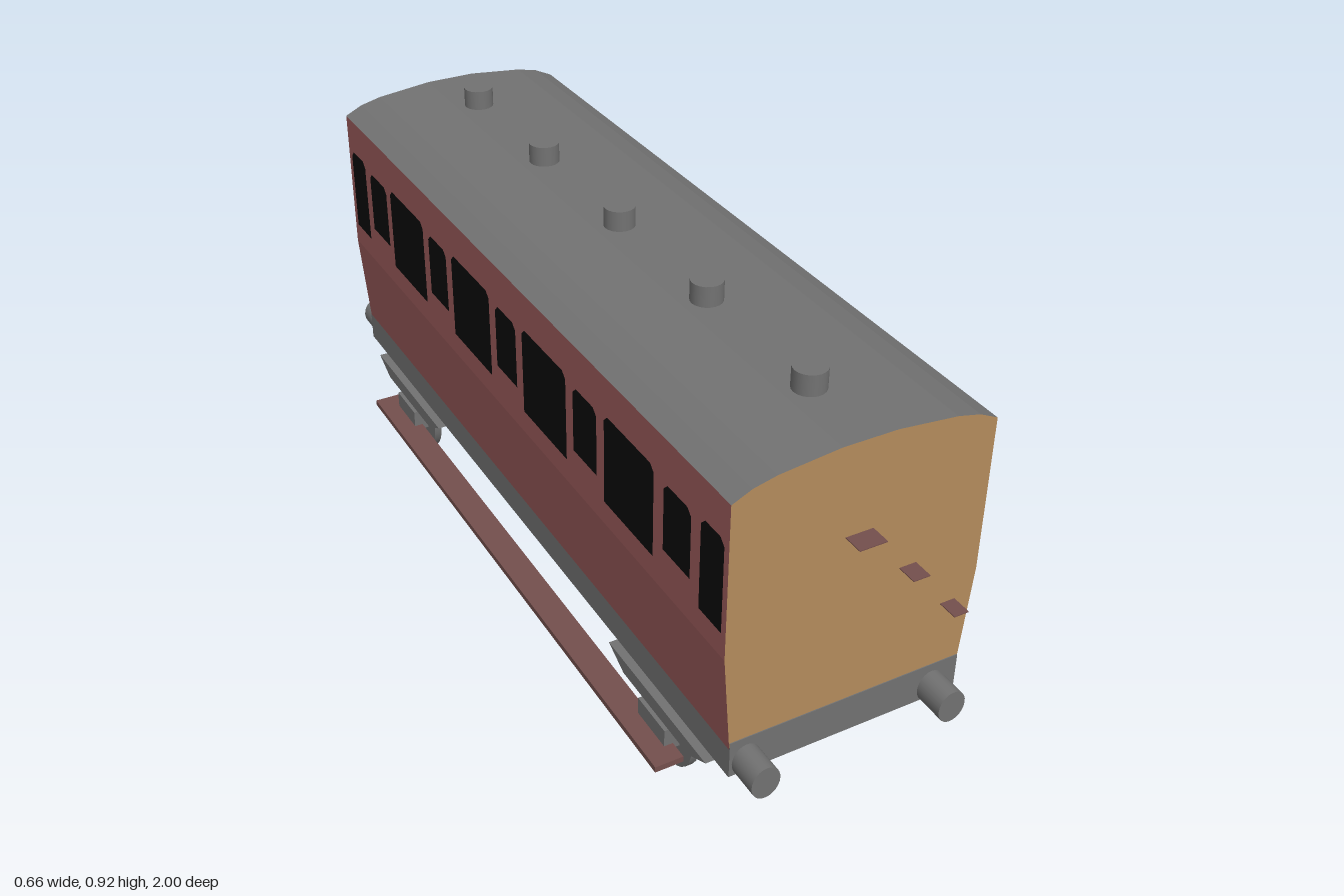
import * as THREE from 'three';

const mat = (name, color, extra = {}) => {
  const m = new THREE.MeshStandardMaterial({ color, ...extra });
  m.name = name;
  return m;
};

export function createModel() {
  const group = new THREE.Group();
  group.name = 'railwayCarriage';
  const brown = mat('brownPaint', 0xb48c5c);
  const red = mat('redPaint', 0x9a5a5a);
  const grey = mat('greyMetal', 0x727272);
  const black = mat('blackGlass', 0x0b0b0b);
  const maroon = mat('stepWood', 0x744f4d);
  const L = 0.927; // half length of the body

  const add = (name, geo, material, x = 0, y = 0, z = 0) => {
    const m = new THREE.Mesh(geo, material);
    m.name = name;
    m.position.set(x, y, z);
    group.add(m);
    return m;
  };
  const box = (name, material, x0, x1, y0, y1, z0, z1) =>
    add(name, new THREE.BoxGeometry(x1 - x0, y1 - y0, z1 - z0), material,
      (x0 + x1) / 2, (y0 + y1) / 2, (z0 + z1) / 2);

  // Flat panels swept along z; points run anticlockwise seen from the front
  const sweep = (name, pts, material) => {
    const v = [];
    for (let i = 0; i < pts.length - 1; i++) {
      const [ax, ay] = pts[i], [bx, by] = pts[i + 1];
      v.push(ax, ay, L, ax, ay, -L, bx, by, -L, ax, ay, L, bx, by, -L, bx, by, L);
    }
    const g = new THREE.BufferGeometry();
    g.setAttribute('position', new THREE.Float32BufferAttribute(v, 3));
    g.computeVertexNormals();
    add(name, g, material);
  };

  // Body shell: two walls, arched roof and two ends
  const wall = [[0.266, 0.25], [0.285, 0.48], [0.285, 0.83]];
  const roofHalf = [[0.285, 0.83], [0.243, 0.85], [0.192, 0.862], [0.06, 0.876]];
  const flip = (pts) => pts.map(([x, y]) => [-x, y]).reverse();
  const roof = [...roofHalf, ...flip(roofHalf)];
  sweep('rightWall', wall, brown);
  sweep('leftWall', flip(wall), red);
  sweep('roof', roof, grey);
  const outline = [...wall, ...roof.slice(1), ...flip(wall).slice(1)];
  const endGeo = new THREE.ShapeGeometry(new THREE.Shape(outline.map((p) => new THREE.Vector2(...p))));
  add('frontEnd', endGeo, brown, 0, 0, L);
  add('backEnd', endGeo, brown, 0, 0, -L).rotation.y = Math.PI;

  // Underframe and buffer beams
  box('underframe', grey, -0.266, 0.266, 0.18, 0.25, -L, L);
  for (const s of [1, -1]) {
    add('bufferBeam', new THREE.BoxGeometry(0.532, 0.086, 0.004), grey, 0, 0.224, s * L);
    for (const x of [-0.228, 0.205]) {
      const buffer = add('buffer', new THREE.CylinderGeometry(1, 1, 0.08, 24), grey, x, 0.211, s * 0.96);
      buffer.rotation.x = Math.PI / 2;
      buffer.scale.set(0.032, 1, 0.038);
    }
    // Small footholds stepping up each end
    for (const [x0, x1, y] of [[-0.037, 0.024, 0.67], [0.095, 0.133, 0.55], [0.206, 0.24, 0.42]]) {
      box('endStep', maroon, x0, x1, y - 0.001, y + 0.001,
        s > 0 ? L : -L - 0.045, s > 0 ? L + 0.045 : -L);
    }
  }

  // Windows with clipped top corners: [z from, z to]; narrow ones are shorter
  const tall = [[0.834, 0.914], [0.464, 0.662], [0.094, 0.298], [-0.276, -0.072], [-0.646, -0.442], [-0.903, -0.812]];
  const short = [[0.7, 0.8], [0.33, 0.432], [-0.04, 0.062], [-0.41, -0.308], [-0.78, -0.673]];
  const addWindow = (z0, z1, y0, y1) => {
    const h = (z1 - z0) / 2, c = 0.014;
    const shape = new THREE.Shape([[-h, y0], [h, y0], [h, y1 - c], [h - c, y1], [c - h, y1], [-h, y1 - c]]
      .map((p) => new THREE.Vector2(...p)));
    const geo = new THREE.ShapeGeometry(shape);
    for (const s of [1, -1]) {
      add('window', geo, black, s * 0.287, 0, (z0 + z1) / 2).rotation.y = s * Math.PI / 2;
    }
  };
  tall.forEach(([a, b]) => addWindow(a, b, 0.537, 0.746));
  short.forEach(([a, b]) => addWindow(a, b, 0.58, 0.735));

  // Roof vents
  for (let i = -2; i <= 2; i++) {
    add('roofVent', new THREE.CylinderGeometry(0.035, 0.035, 0.055, 20), grey, -0.004, 0.895, i * 0.368);
  }

  // Running gear
  const springShape = new THREE.Shape([[-0.2, 0.166], [-0.135, 0.132], [0.135, 0.132], [0.2, 0.166]]
    .map((p) => new THREE.Vector2(...p)));
  const springGeo = new THREE.ExtrudeGeometry(springShape, { depth: 0.031, bevelEnabled: false });
  springGeo.translate(0, 0, -0.0155);
  for (const z of [0.665, -0.65]) {
    add('axle', new THREE.CylinderGeometry(0.013, 0.013, 0.4, 12), grey, 0, 0.094, z).rotation.z = Math.PI / 2;
    for (const s of [1, -1]) {
      add('wheel', new THREE.CylinderGeometry(0.102, 0.102, 0.018, 28), grey, s * 0.242, 0.102, z)
        .rotation.z = Math.PI / 2;
      add('spring', springGeo, grey, s * 0.263, 0, z).rotation.y = Math.PI / 2;
      add('axleBox', new THREE.BoxGeometry(0.037, 0.055, 0.11), grey, s * 0.269, 0.104, z);
    }
  }

  // Long footboards
  for (const s of [1, -1]) {
    add('footboard', new THREE.BoxGeometry(0.065, 0.014, 1.52), maroon, s * 0.2995, 0.083, 0.003);
  }
  return group;
}
